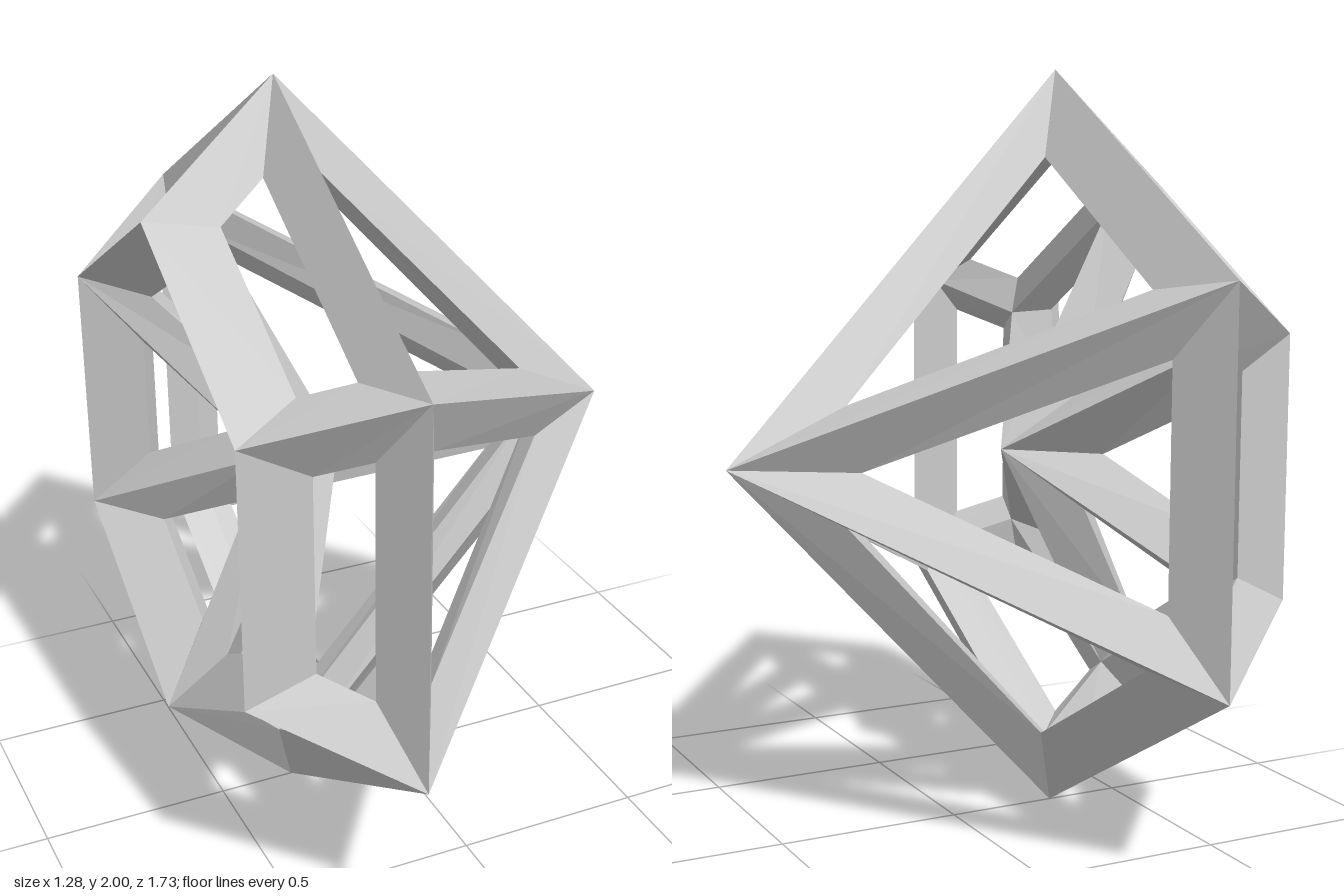
import * as THREE from 'three';

const SIDES = 6;
const HALF_WIDTH = 0.098; // inset of every opening from its face edges

// Levels along x: radius and position of the frame's centre surface,
// plus the offset to its outer ridge (the inner ridge is mirrored).
const LEVELS = {
  tip: { r: 0, x: 0.538, dr: 0, dx: 0.098 },
  girdle: { r: 0.903, x: -0.289, dr: 0.097, dx: -0.008 },
  rim: { r: 0.653, x: -0.551, dr: 0.028, dx: -0.092 },
  hollow: { r: 0, x: -0.24, dr: 0, dx: -0.1 },
};

// Point of a level at corner k; side = 1 outer ridge, 0 centre, -1 inner ridge
function point([name, k], side) {
  const l = LEVELS[name];
  const a = (k / SIDES) * Math.PI * 2;
  const r = l.r + side * l.dr;
  return new THREE.Vector3(l.x + side * l.dx, 1 + r * Math.cos(a), r * Math.sin(a));
}

// Corner of a face's opening, equally far from both neighbouring edges
function insetCorner(p, prev, next) {
  const u = prev.clone().sub(p).normalize();
  const v = next.clone().sub(p).normalize();
  const sinHalf = Math.sqrt((1 - u.dot(v)) / 2);
  return u.add(v).normalize().multiplyScalar(HALF_WIDTH / sinHalf).add(p);
}

// Adds the half-beams (outer and inner slope) around one open face
function addFrame(out, corners) {
  const n = corners.length;
  const mid = corners.map((c) => point(c, 0));
  const outer = corners.map((c) => point(c, 1));
  const inner = corners.map((c) => point(c, -1));
  const inset = mid.map((p, i) => insetCorner(p, mid[(i + n - 1) % n], mid[(i + 1) % n]));
  const quad = (a, b, c, d) => [a, b, c, a, c, d].forEach((p) => out.push(p.x, p.y, p.z));
  for (let i = 0; i < n; i++) {
    const j = (i + 1) % n;
    quad(outer[i], outer[j], inset[j], inset[i]);
    quad(inner[j], inner[i], inset[i], inset[j]);
  }
}

// Repeats a face frame around the axis and makes one mesh of it
function frameMesh(name, faceAt, material) {
  const positions = [];
  for (let k = 0; k < SIDES; k++) addFrame(positions, faceAt(k, k + 1));
  const geometry = new THREE.BufferGeometry();
  geometry.setAttribute('position', new THREE.Float32BufferAttribute(positions, 3));
  geometry.computeVertexNormals();
  const mesh = new THREE.Mesh(geometry, material);
  mesh.name = name;
  return mesh;
}

export function createModel() {
  const group = new THREE.Group();
  group.name = 'gemFrame';
  const material = new THREE.MeshStandardMaterial({ color: 0xcccccc, flatShading: true });

  group.add(
    // Long pyramid towards +x
    frameMesh('pyramidFrame', (k, m) => [['girdle', k], ['girdle', m], ['tip', 0]], material),
    // Sloped band between the wide girdle and the small rim
    frameMesh('crownFrame', (k, m) => [['girdle', m], ['girdle', k], ['rim', k], ['rim', m]], material),
    // Shallow pyramid sunk into the rim
    frameMesh('sunkenFrame', (k, m) => [['rim', m], ['rim', k], ['hollow', 0]], material),
  );
  return group;
}
